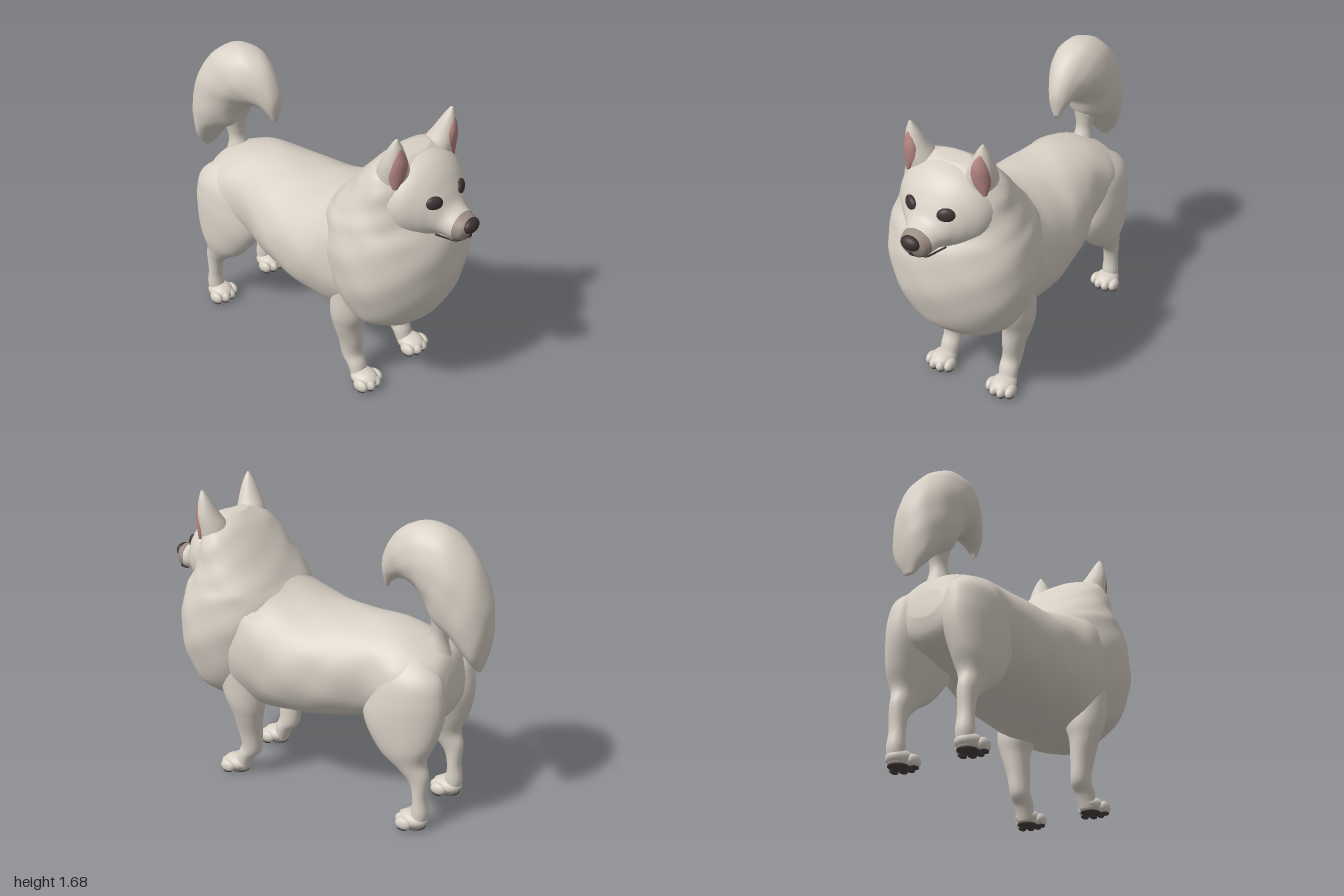
import * as THREE from 'three';

const mat = (name, color) => {
  const m = new THREE.MeshStandardMaterial({ color });
  m.name = name;
  return m;
};

// Smooth closed skin through sections [x1, y1, x2, y2, halfWidth, zCentre]:
// two opposite outline points seen from the side, plus a width across z.
function loft(sections, { side = 1, around = 36, steps = 6, lump = 0, power = 1 } = {}) {
  const n = (sections.length - 1) * steps;
  const at = (t, k) => {
    const i = Math.min(Math.floor(t), sections.length - 2), f = t - i;
    const v = j => sections[Math.max(0, Math.min(sections.length - 1, j))][k] ?? 0;
    const a = v(i - 1), b = v(i), c = v(i + 1), d = v(i + 2);
    return b + 0.5 * f * (c - a + f * (2 * a - 5 * b + 4 * c - d + f * (3 * (b - c) + d - a)));
  };
  const pos = [], idx = [];
  const bend = v => Math.sign(v) * Math.pow(Math.abs(v), power);
  for (let i = 0; i <= n; i++) {
    const t = i / steps;
    const [x1, y1, x2, y2, w, z] = [0, 1, 2, 3, 4, 5].map(k => at(t, k));
    for (let j = 0; j < around; j++) {
      const a = j / around * Math.PI * 2;
      const r = 1 + lump * (Math.sin(5 * a + 2.3 * t) * Math.sin(2.1 * t + 1) + 0.6 * Math.sin(9 * a - 3.1 * t));
      const c = bend(Math.cos(a)) * r / 2, s = bend(Math.sin(a)) * r;
      pos.push((x1 + x2) / 2 + (x1 - x2) * c, (y1 + y2) / 2 + (y1 - y2) * c, side * z + w * s);
    }
  }
  for (let i = 0; i < n; i++) for (let j = 0; j < around; j++) {
    const k = (j + 1) % around, p = i * around, q = p + around;
    idx.push(p + j, p + k, q + j, p + k, q + k, q + j);
  }
  // end caps
  for (const [row, flip] of [[0, false], [n, true]]) {
    const o = row * around, c = pos.length / 3, h = around / 2;
    for (let k = 0; k < 3; k++) pos.push((pos[o * 3 + k] + pos[(o + h) * 3 + k]) / 2);
    for (let j = 0; j < around; j++) {
      const a = o + j, b = o + (j + 1) % around;
      idx.push(c, flip ? a : b, flip ? b : a);
    }
  }
  // turn every face outward
  const P = i => new THREE.Vector3().fromArray(pos, i * 3);
  let volume = 0;
  for (let i = 0; i < idx.length; i += 3) volume += P(idx[i]).dot(P(idx[i + 1]).cross(P(idx[i + 2])));
  if (volume < 0) idx.reverse();
  const g = new THREE.BufferGeometry();
  g.setAttribute('position', new THREE.Float32BufferAttribute(pos, 3));
  g.setIndex(idx);
  g.computeVertexNormals();
  return g;
}

export function createModel() {
  const dog = new THREE.Group();
  dog.name = 'dog';
  const fur = mat('cream fur', 0xd9d1c6), pink = mat('inner ear pink', 0xb58580);
  const dark = mat('nose and eye dark', 0x3e3232), taupe = mat('muzzle taupe', 0x9c8d84);
  const pad = mat('paw pad grey', 0x4a4140);

  const add = (name, geo, m, parent = dog) => {
    const mesh = new THREE.Mesh(geo, m);
    mesh.name = name;
    parent.add(mesh);
    return mesh;
  };
  const ball = (name, m, p, s, parent = dog) => {
    const b = add(name, new THREE.SphereGeometry(1, 24, 16), m, parent);
    b.position.set(...p);
    b.scale.set(...s);
    return b;
  };

  // Torso from rump to shoulders
  add('torso', loft([
    [-0.805, 0.89, -0.825, 0.74, 0.1], [-0.755, 0.985, -0.78, 0.62, 0.22],
    [-0.6, 1.06, -0.6, 0.56, 0.29], [-0.42, 1.1, -0.42, 0.55, 0.28],
    [-0.2, 1.095, -0.2, 0.5, 0.34], [0, 1.11, 0, 0.465, 0.38],
    [0.2, 1.18, 0.2, 0.445, 0.39], [0.36, 1.29, 0.4, 0.45, 0.38],
    [0.5, 1.25, 0.54, 0.5, 0.34], [0.62, 1.1, 0.66, 0.6, 0.22],
  ], { around: 48, lump: 0.01, power: 0.93 }), fur);

  // Full mane over chest and neck, rounding in below the chest
  add('mane', loft([
    [0.62, 0.447, 0.4, 0.44, 0.08], [0.7, 0.5, 0.33, 0.49, 0.22], [0.785, 0.6, 0.27, 0.6, 0.335],
    [0.85, 0.78, 0.2, 0.8, 0.405], [0.865, 0.95, 0.16, 0.97, 0.42], [0.84, 1.1, 0.17, 1.12, 0.395],
    [0.785, 1.2, 0.22, 1.2, 0.365], [0.755, 1.3, 0.3, 1.3, 0.325], [0.725, 1.4, 0.385, 1.4, 0.295],
    [0.69, 1.48, 0.46, 1.48, 0.235], [0.64, 1.525, 0.54, 1.535, 0.1],
  ], { around: 48, lump: 0.012, power: 0.94 }), fur);

  // Head tapering into the muzzle
  add('head', loft([
    [0.5, 1.5, 0.48, 1.08, 0.24], [0.6, 1.525, 0.59, 1.06, 0.28], [0.7, 1.505, 0.7, 1.07, 0.26],
    [0.77, 1.45, 0.775, 1.1, 0.2], [0.82, 1.375, 0.82, 1.125, 0.145], [0.86, 1.305, 0.86, 1.13, 0.108],
    [0.92, 1.272, 0.91, 1.125, 0.088], [0.96, 1.255, 0.945, 1.135, 0.068], [0.98, 1.24, 0.965, 1.17, 0.035],
  ]), fur);
  add('muzzleTip', loft([
    [0.915, 1.277, 0.912, 1.123, 0.09], [0.94, 1.268, 0.928, 1.126, 0.083],
    [0.965, 1.256, 0.95, 1.136, 0.07], [0.985, 1.235, 0.968, 1.165, 0.035],
  ]), taupe);
  ball('nose', dark, [0.967, 1.223, 0], [0.033, 0.04, 0.055]);
  add('noseGroove', new THREE.BoxGeometry(0.012, 0.05, 0.022), dark).position.set(0.964, 1.178, 0);
  const lips = [[0.84, 1.172, 0.121], [0.885, 1.156, 0.091], [0.93, 1.152, 0.073], [0.95, 1.154, 0.04]];
  const mouth = [...lips, [0.959, 1.156, 0], ...lips.map(([x, y, z]) => [x, y, -z]).reverse()];
  add('mouth', new THREE.TubeGeometry(
    new THREE.CatmullRomCurve3(mouth.map(p => new THREE.Vector3(...p))), 48, 0.005, 8), dark);

  // Curled plume tail on a short stem
  add('tailStem', loft([
    [-0.6, 0.96, -0.79, 0.92, 0.08], [-0.655, 1.06, -0.755, 1.04, 0.05],
    [-0.66, 1.13, -0.77, 1.12, 0.055], [-0.64, 1.25, -0.82, 1.22, 0.09],
  ]), fur);
  add('tailPlume', loft([
    [-0.935, 0.925, -0.955, 0.92, 0.03], [-0.875, 1, -0.985, 1.03, 0.1], [-0.78, 1.1, -0.997, 1.17, 0.14],
    [-0.67, 1.17, -0.98, 1.33, 0.16], [-0.62, 1.27, -0.895, 1.51, 0.168], [-0.56, 1.33, -0.75, 1.645, 0.16],
    [-0.51, 1.345, -0.58, 1.67, 0.135], [-0.46, 1.34, -0.44, 1.59, 0.09],
    [-0.415, 1.31, -0.365, 1.44, 0.05], [-0.395, 1.275, -0.375, 1.3, 0.015],
  ], { lump: 0.015 }), fur);

  // Paw with four toes over a dark sole
  const paw = (name, x, z) => {
    const g = new THREE.Group();
    g.name = name;
    g.position.set(x, 0, z);
    dog.add(g);
    ball('pawTop', fur, [0, 0.054, 0], [0.085, 0.048, 0.07], g);
    ball('heelPad', pad, [-0.012, 0.013, 0], [0.06, 0.013, 0.055], g);
    [-0.064, -0.023, 0.023, 0.064].forEach((dz, i) => {
      const dx = i % 3 ? 0.05 : 0.028;
      ball('toe', fur, [dx, 0.043, dz], [0.047, 0.036, 0.027], g);
      ball('toePad', pad, [dx + 0.004, 0.013, dz], [0.03, 0.013, 0.019], g);
    });
  };

  for (const side of [1, -1]) {
    const label = side > 0 ? 'left' : 'right';
    // Hind leg: broad thigh, hock and shank
    add(label + 'HindLeg', loft([
      [-0.5, 1.0, -0.68, 0.99, 0.04, 0.15], [-0.43, 0.88, -0.8, 0.9, 0.115, 0.17],
      [-0.39, 0.74, -0.835, 0.79, 0.137, 0.178], [-0.375, 0.6, -0.838, 0.67, 0.135, 0.185],
      [-0.48, 0.44, -0.805, 0.53, 0.105, 0.205], [-0.6, 0.35, -0.76, 0.42, 0.07, 0.21],
      [-0.67, 0.275, -0.778, 0.33, 0.05, 0.21], [-0.692, 0.18, -0.772, 0.2, 0.045, 0.21],
      [-0.685, 0.1, -0.784, 0.1, 0.05, 0.21], [-0.68, 0.02, -0.765, 0.02, 0.045, 0.21],
    ], { side }), fur);
    paw(label + 'HindPaw', -0.697, side * 0.21);

    // Front leg
    add(label + 'FrontLeg', loft([
      [0.56, 0.8, 0.3, 0.78, 0.11, 0.24], [0.52, 0.56, 0.27, 0.52, 0.115, 0.23],
      [0.465, 0.42, 0.285, 0.4, 0.085, 0.23], [0.45, 0.3, 0.3, 0.28, 0.064, 0.212],
      [0.435, 0.2, 0.315, 0.16, 0.056, 0.2], [0.46, 0.13, 0.365, 0.1, 0.056, 0.2],
      [0.48, 0.04, 0.4, 0.02, 0.05, 0.205],
    ], { side }), fur);
    paw(label + 'FrontPaw', 0.474, side * 0.207);

    // Ear with pink lining, shaped around its own axis and turned a little outward
    const ear = new THREE.Group();
    ear.name = label + 'Ear';
    ear.position.set(0.63, 0, side * 0.2);
    ear.rotation.y = -side * 0.38;
    dog.add(ear);
    add('earShell', loft([
      [0.03, 1.37, -0.14, 1.4, 0.09, -0.015], [0.05, 1.47, -0.11, 1.49, 0.083, -0.01],
      [0.055, 1.55, -0.065, 1.56, 0.064, 0], [0.045, 1.63, -0.02, 1.635, 0.036, 0.005],
      [0.03, 1.685, 0.015, 1.685, 0.006, 0.008],
    ], { side }), fur, ear);
    add('earLining', loft([
      [0.052, 1.415, 0.02, 1.415, 0.014, 0.016], [0.06, 1.48, -0.01, 1.48, 0.048, 0],
      [0.064, 1.55, -0.005, 1.55, 0.047, -0.004], [0.056, 1.6, 0.01, 1.6, 0.031, -0.002],
      [0.046, 1.635, 0.03, 1.635, 0.008, 0],
    ], { side }), pink, ear);

    const eye = ball(label + 'Eye', dark, [0.808, 1.333, side * 0.106], [0.026, 0.04, 0.05]);
    eye.rotation.y = -side * 0.5;
  }
  return dog;
}
